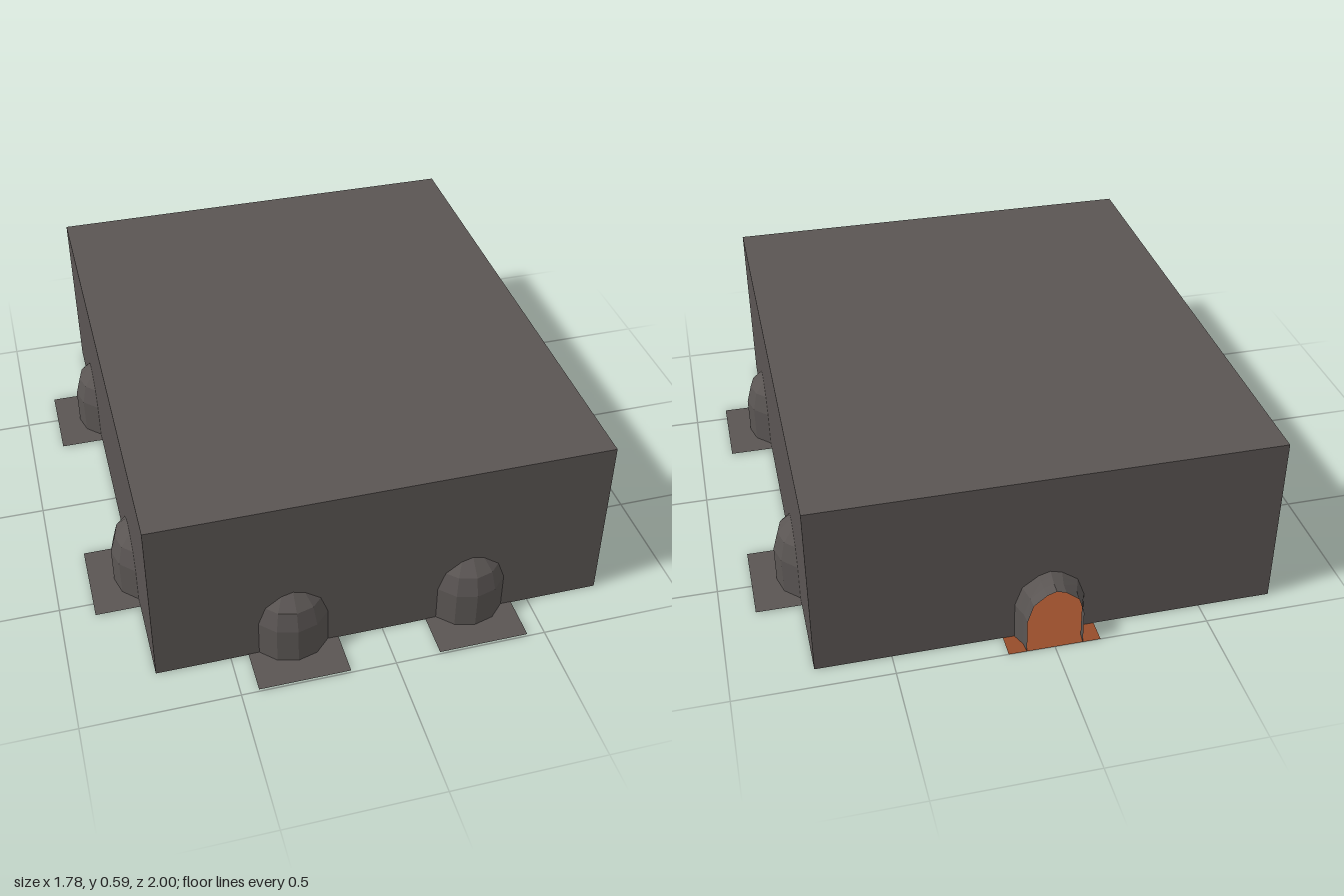
import * as THREE from 'three';

const W = 1.48, D = 1.772, H = 0.594, ZC = -0.039; // hall size and its centre in z
const TAB = 0.148;                                 // depth and half width of floor tabs

// half outline of the arched openings: half width, height
const ARCH = [[0.111, 0], [0.111, 0.13], [0.088, 0.195], [0.037, 0.232], [0, 0.243]];
const archPoints = (sx = 1, sy = 1) => [
  ...ARCH.map(([x, y]) => [x * sx, y * sy]),
  ...ARCH.slice(0, -1).reverse().map(([x, y]) => [-x * sx, y * sy]),
];

// surface through equal open cross-sections
function loft(rings) {
  const n = rings[0].length, index = [];
  for (let r = 0; r < rings.length - 1; r++) {
    for (let i = 0; i < n - 1; i++) {
      const a = r * n + i, b = a + n;
      index.push(a, b, a + 1, a + 1, b, b + 1);
    }
  }
  const geo = new THREE.BufferGeometry();
  geo.setAttribute('position', new THREE.Float32BufferAttribute(rings.flat(2), 3));
  geo.setIndex(index);
  geo.computeVertexNormals();
  return geo;
}

export function createModel() {
  const stone = new THREE.MeshStandardMaterial({ color: 0x5a5553, side: THREE.DoubleSide, flatShading: true });
  stone.name = 'stone';
  const rust = new THREE.MeshStandardMaterial({ color: 0x964c2a, side: THREE.DoubleSide, flatShading: true });
  rust.name = 'rust carpet';

  const model = new THREE.Group();
  model.name = 'hall';

  const add = (parent, name, geo, mat, x = 0, y = 0, z = 0) => {
    const mesh = new THREE.Mesh(geo, mat);
    mesh.name = name;
    mesh.position.set(x, y, z);
    parent.add(mesh);
    return mesh;
  };
  const plate = (parent, name, w, d, mat, x, y, z) =>
    add(parent, name, new THREE.PlaneGeometry(w, d).rotateX(-Math.PI / 2), mat, x, y, z);

  // twelve-sided niche with a domed top; only the part beyond the wall
  const nicheGeo = new THREE.LatheGeometry(
    [[0.13, 0], [0.13, 0.13], [0.1126, 0.195], [0.065, 0.2426], [0, 0.26]].map(p => new THREE.Vector2(...p)),
    4, -Math.PI / 3, Math.PI * 2 / 3);

  // one wall facing +z locally, with arched openings at the given places
  function makeWall(name, width, dist, turn, openings, niches) {
    const group = new THREE.Group();
    group.name = name;
    group.rotation.y = turn;
    group.position.set(Math.sin(turn) * dist, 0, ZC + Math.cos(turn) * dist);
    // openings reach the ground, so they are notches in the outline
    const outline = [[-width / 2, 0]];
    for (const u of openings) {
      for (const [x, y] of archPoints().reverse()) outline.push([u + x, y]);
    }
    outline.push([width / 2, 0], [width / 2, H], [-width / 2, H]);
    const shape = new THREE.Shape(outline.map(p => new THREE.Vector2(...p)));
    add(group, 'wallPanel', new THREE.ShapeGeometry(shape), stone);
    if (niches) {
      for (const u of openings) {
        add(group, 'niche', nicheGeo, stone, u, 0, -0.065);
        plate(group, 'nicheFloor', TAB * 2, TAB, stone, u, 0.003, TAB / 2);
      }
    }
    model.add(group);
    return group;
  }

  makeWall('frontWall', W, D / 2, 0, [-0.295, 0.295], true);
  makeWall('leftWall', D, W / 2, Math.PI / 2, [-0.445, 0.445], true);
  makeWall('rightWall', D, W / 2, -Math.PI / 2, [-0.445, 0.445], true);
  const back = makeWall('backWall', W, D / 2, Math.PI, [0], false);

  // entrance tunnel that narrows outwards and stays open at the end
  const sections = [[0, 1, 1], [0.018, 0.93, 0.965], [0.04, 0.84, 0.93], [0.075, 0.81, 0.925]];
  add(back, 'entranceTunnel', loft(sections.map(([z, sx, sy]) =>
    archPoints(sx, sy).map(([x, y]) => [x, y, z]).reverse())).toNonIndexed(), stone);

  // roof, and floor on both sides of the carpet
  plate(model, 'roof', W, D, stone, 0, H, ZC);
  const side = W / 2 - TAB;
  for (const s of [-1, 1]) plate(model, 'floor', side, D, stone, s * (TAB + side / 2), 0.003, ZC);

  // carpet from the entrance to the front wall
  const front = ZC + D / 2;
  plate(model, 'carpet', TAB * 2, 1 + front, rust, 0, 0, (front - 1) / 2);

  return model;
}
